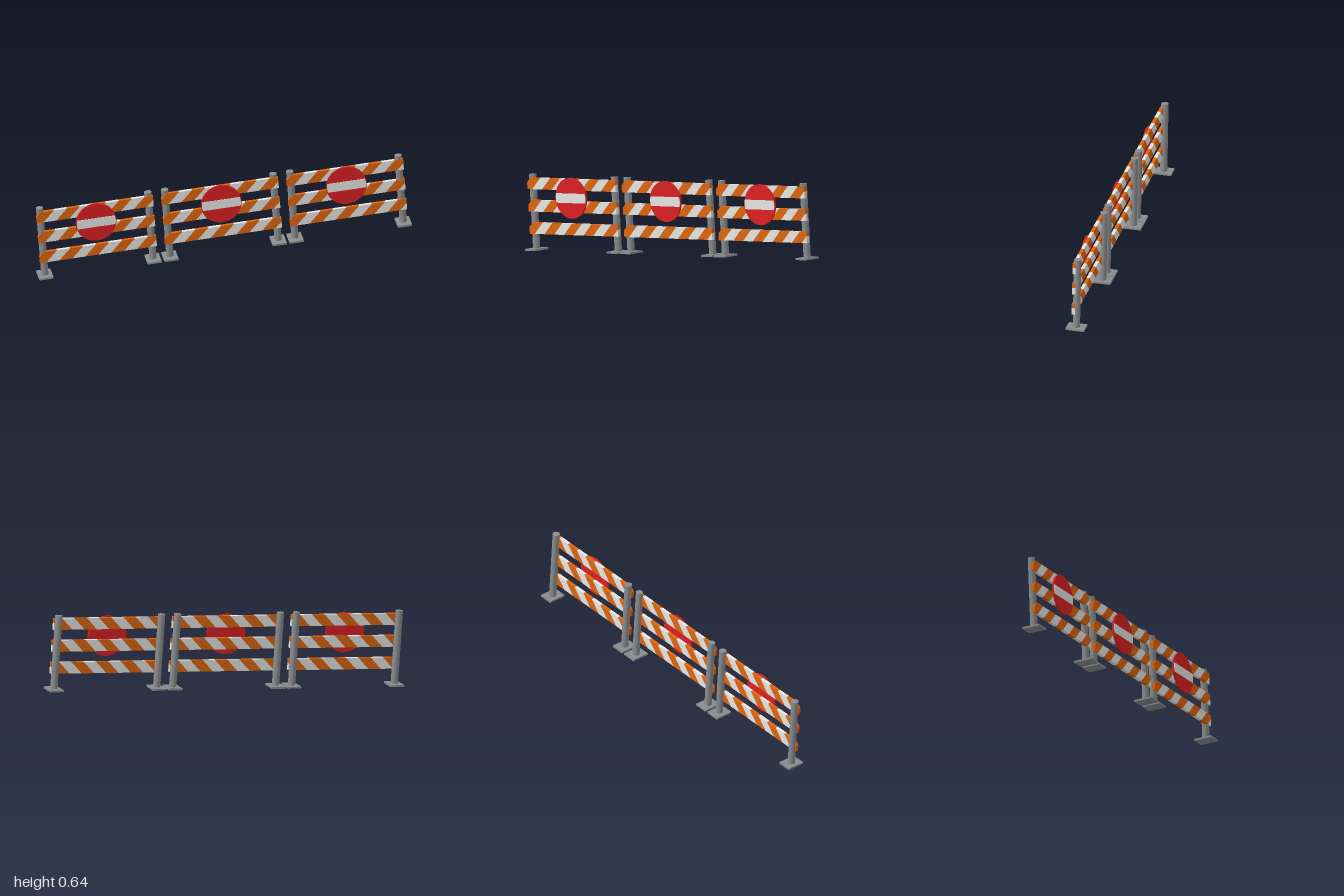
import * as THREE from 'three';
import { mergeGeometries } from 'three/addons/utils/BufferGeometryUtils.js';

const mat = (name, color) => {
  const m = new THREE.MeshStandardMaterial({ color });
  m.name = name;
  return m;
};

const PITCH = 0.793;      // distance between panels
const POST_X = 0.343;     // post offset from the panel centre
const BOARD = { half: 0.37, h: 0.073, back: 0.005, depth: 0.021 };
const STRIPE = 0.082;

// Keep the part of a polygon where sign * x <= limit
function clip(points, sign, limit) {
  const out = [];
  points.forEach((p, i) => {
    const q = points[(i + 1) % points.length];
    const dp = sign * p.x - limit, dq = sign * q.x - limit;
    if (dp <= 0) out.push(p);
    if (dp * dq < 0) out.push(p.clone().lerp(q, dp / (dp - dq)));
  });
  return out;
}

// All stripes of one colour on a board, as slanted blocks trimmed at the ends
function stripes(parity) {
  const { half, h, back, depth } = BOARD;
  const s = 0.036, parts = [];
  for (let i = -1; i < 10; i++) {
    if ((i + 2) % 2 !== parity) continue;
    const a = 0.362 - i * STRIPE, b = a + STRIPE;
    let pts = [[a - s, -h / 2], [b - s, -h / 2], [b + s, h / 2], [a + s, h / 2]]
      .map(([x, y]) => new THREE.Vector2(x, y));
    pts = clip(clip(pts, 1, half), -1, half);
    if (pts.length < 3) continue;
    const g = new THREE.ExtrudeGeometry(new THREE.Shape(pts), { depth, bevelEnabled: false });
    parts.push(g.translate(0, 0, back));
  }
  return mergeGeometries(parts);
}

// White bar with ends following the disc edge
function barGeometry(r, h) {
  const a = Math.asin(h / 2 / r);
  const shape = new THREE.Shape();
  shape.absarc(0, 0, r, -a, a, false);
  shape.absarc(0, 0, r, Math.PI - a, Math.PI + a, false);
  shape.closePath();
  return new THREE.ExtrudeGeometry(shape, { depth: 0.004, bevelEnabled: false });
}

export function createModel() {
  const grey = mat('steelGrey', 0x8a8c8e);
  const orange = mat('stripeOrange', 0xe0660f);
  const white = mat('stripeWhite', 0xe8e8e6);
  const red = mat('signRed', 0xdc2024);

  const postGeo = new THREE.CylinderGeometry(0.023, 0.023, 0.47, 20).translate(0, 0.241, 0);
  const footGeo = new THREE.BoxGeometry(0.09, 0.012, 0.118).translate(0, 0.006, 0);
  const orangeGeo = stripes(1), whiteGeo = stripes(0);
  const discGeo = new THREE.CylinderGeometry(0.128, 0.128, 0.012, 48).rotateX(Math.PI / 2);
  const barGeo = barGeometry(0.123, 0.06);

  const add = (parent, name, geo, material, x = 0, y = 0, z = 0) => {
    const m = new THREE.Mesh(geo, material);
    m.name = name;
    m.position.set(x, y, z);
    parent.add(m);
  };

  // The row of panels climbs a gentle slope and runs diagonally
  const row = new THREE.Group();
  row.name = 'barrierRow';
  row.rotation.set(0, THREE.MathUtils.degToRad(-34.8), THREE.MathUtils.degToRad(4.15));
  row.position.y = 0.0855;

  for (let i = -1; i <= 1; i++) {
    const panel = new THREE.Group();
    panel.name = 'barrierPanel';
    panel.position.x = i * PITCH;
    for (const side of [-1, 1]) {
      add(panel, 'post', postGeo, grey, side * POST_X);
      add(panel, 'foot', footGeo, grey, side * POST_X);
    }
    for (const y of [0.14, 0.28, 0.42]) {
      add(panel, 'boardOrangeStripes', orangeGeo, orange, 0, y);
      add(panel, 'boardWhiteStripes', whiteGeo, white, 0, y);
    }
    add(panel, 'signDisc', discGeo, red, 0, 0.336, 0.031);
    add(panel, 'signBar', barGeo, white, 0, 0.336, 0.036);
    row.add(panel);
  }

  const model = new THREE.Group();
  model.name = 'roadBarrier';
  model.add(row);
  return model;
}
